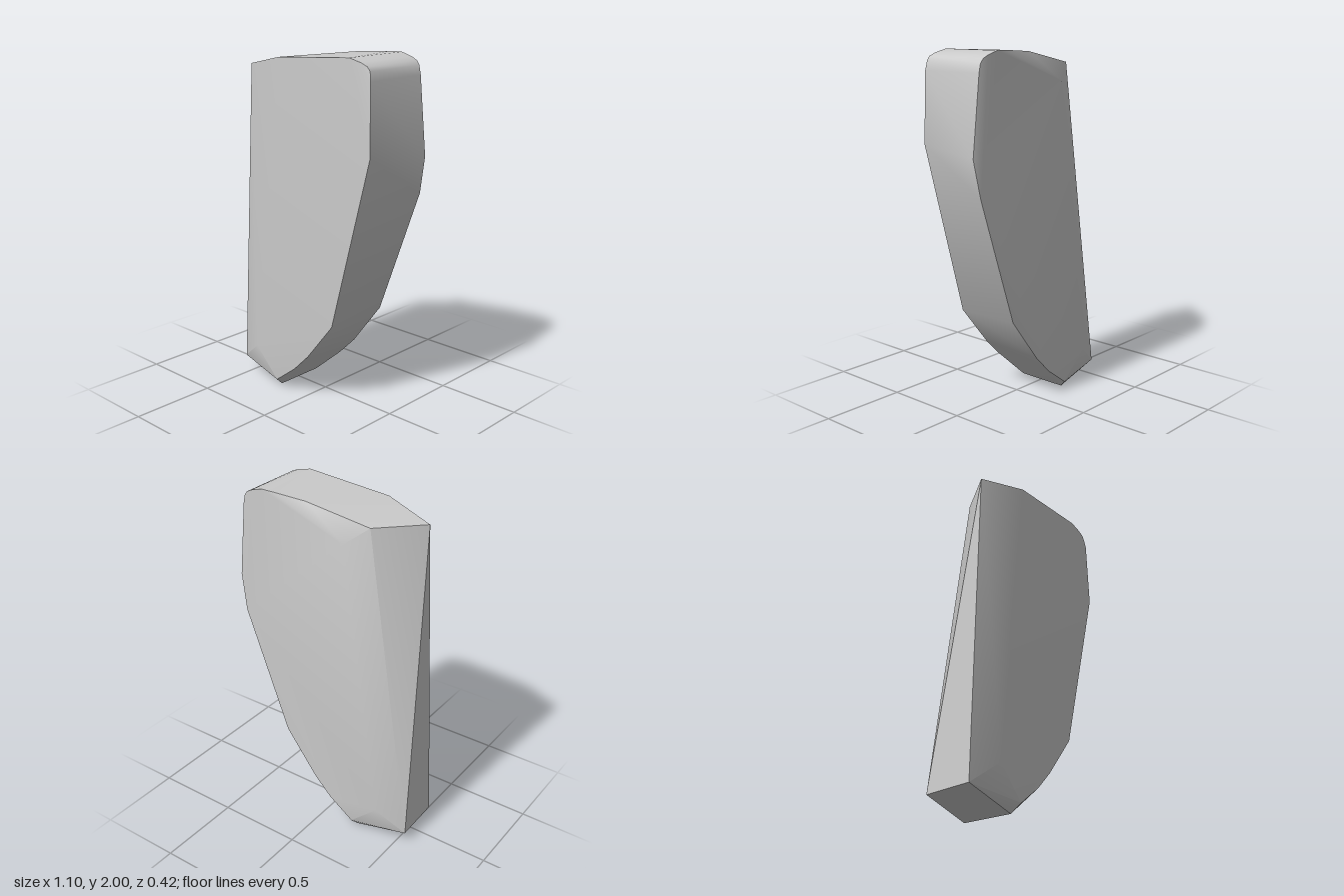
import * as THREE from 'three';
import { ConvexGeometry } from 'three/addons/geometries/ConvexGeometry.js';
import { toCreasedNormals } from 'three/addons/utils/BufferGeometryUtils.js';

export function createModel() {
  const group = new THREE.Group();
  const stone = new THREE.MeshStandardMaterial({ color: 0xcacaca });
  stone.name = 'stone grey';

  // Corners as x, y, z
  const corners = [
    // narrow edge, a tall triangle
    [-0.47, 1.90, 0.115], [-0.55, 0.085, 0.135], [-0.55, 0.07, -0.135],
    // front face rim, clockwise from the top
    [-0.17, 1.963, 0.19], [0.35, 1.998, 0.196], [0.43, 1.98, 0.196], [0.472, 1.963, 0.195],
    [0.49, 1.94, 0.194], [0.499, 1.89, 0.2], [0.508, 1.5, 0.208], [0.24, 0.51, 0.203],
    [0.05, 0.275, 0.2], [-0.06, 0.165, 0.2], [-0.21, 0.05, 0.199], [-0.38, 0.22, 0.199],
    // back face rim
    [-0.27, 1.915, -0.13], [-0.15, 1.82, -0.197], [0.10, 1.987, -0.175], [0.30, 2.0, -0.198],
    [0.37, 2.0, -0.2], [0.44, 1.98, -0.2], [0.474, 1.963, -0.198], [0.492, 1.94, -0.196],
    [0.503, 1.89, -0.196], [0.549, 1.46, -0.194], [0.51, 1.25, -0.208], [0.25, 0.52, -0.196],
    [0.05, 0.26, -0.197], [-0.06, 0.15, -0.197], [-0.21, 0.04, -0.193], [-0.38, 0.2, -0.196],
    // foot
    [-0.225, 0, 0.145], [-0.225, 0, -0.155],
  ].map((p) => new THREE.Vector3(...p));

  // Smooth the shallow facets, keep the rim sharp
  const slab = new THREE.Mesh(toCreasedNormals(new ConvexGeometry(corners), 0.65), stone);
  slab.name = 'stoneSlab';
  group.add(slab);
  return group;
}
